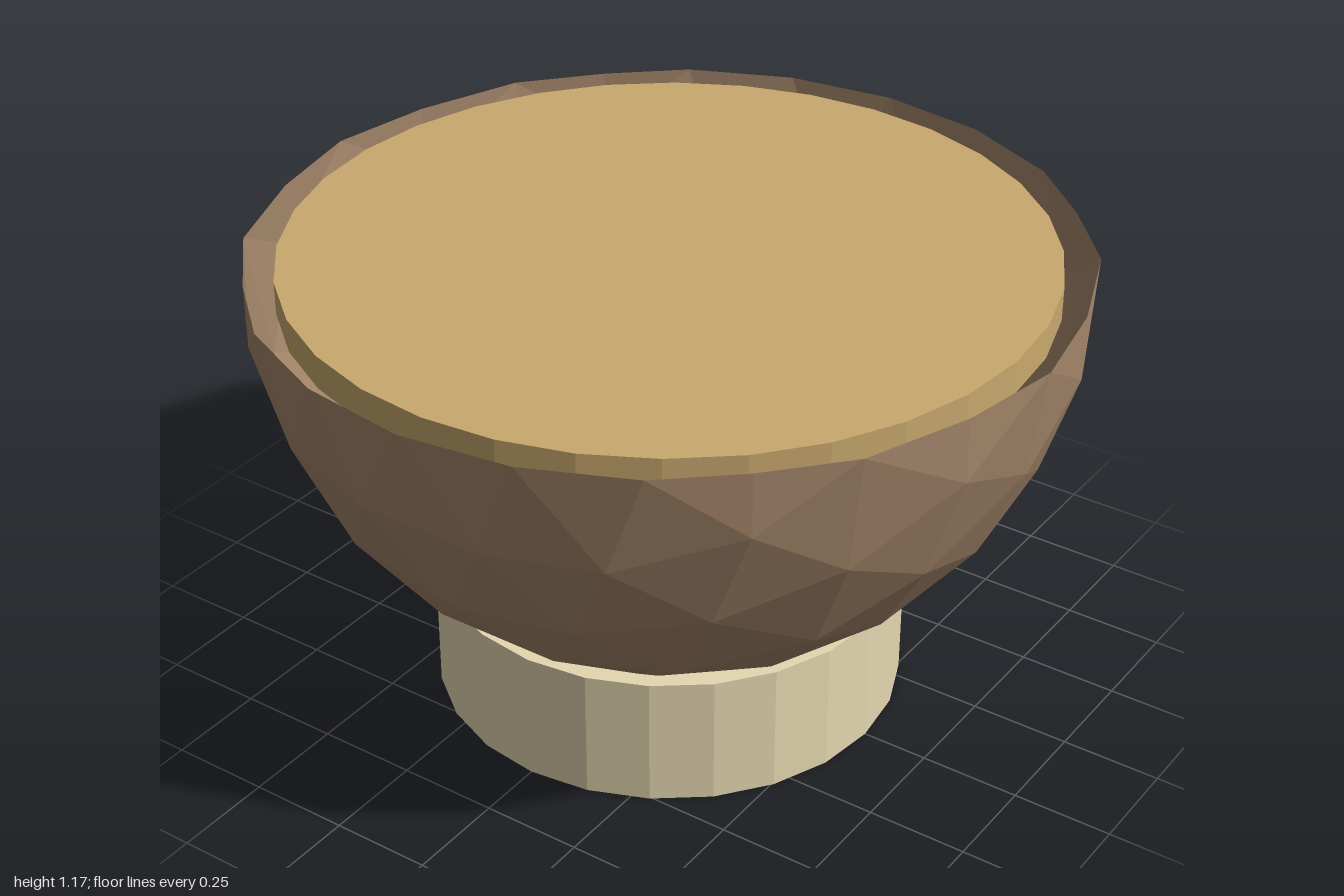
import * as THREE from 'three';

const FOOT_H = 0.333, RIM_Y = 1.167;

function material(name, color) {
  const m = new THREE.MeshStandardMaterial({ color });
  m.name = name;
  return m;
}

function addMesh(group, name, geometry, mat, y) {
  const mesh = new THREE.Mesh(geometry, mat);
  mesh.name = name;
  mesh.position.y = y;
  group.add(mesh);
}

// Icosphere subdivided twice, laid on its side
function icosphere() {
  const first = new THREE.IcosahedronGeometry(1, 1);
  const points = Array.from(first.attributes.position.array);
  const sphere = new THREE.PolyhedronGeometry(points, points.slice(0, points.length / 3).map((_, i) => i), 1, 1);
  return sphere.rotateZ(Math.PI / 2);
}

// Keep only the part of each triangle below y = 0
function lowerHalf(geometry) {
  const pos = geometry.attributes.position, out = [];
  for (let i = 0; i < pos.count; i += 3) {
    const tri = [0, 1, 2].map(k => {
      const v = new THREE.Vector3().fromBufferAttribute(pos, i + k);
      if (Math.abs(v.y) < 1e-5) v.y = 0;
      return v;
    });
    if (tri.every(v => v.y >= 0)) continue;
    const poly = [];
    tri.forEach((a, k) => {
      const b = tri[(k + 1) % 3];
      if (a.y <= 0) poly.push(a);
      if (a.y * b.y < 0) poly.push(a.clone().lerp(b, a.y / (a.y - b.y)));
    });
    for (let k = 1; k < poly.length - 1; k++) out.push(poly[0], poly[k], poly[k + 1]);
  }
  const half = new THREE.BufferGeometry().setFromPoints(out);
  half.computeVertexNormals();
  return half;
}

export function createModel() {
  const group = new THREE.Group();
  group.name = 'footedBowl';

  const wood = material('brown wood', 0xa38569);
  const cream = material('cream', 0xe4d8b0);
  const gold = material('golden tan', 0xc9a96e);
  wood.side = THREE.DoubleSide;
  for (const m of [wood, cream, gold]) m.flatShading = true;

  // Round foot
  addMesh(group, 'foot', new THREE.CylinderGeometry(0.583, 0.583, FOOT_H, 24), cream, FOOT_H / 2);
  // Open faceted bowl
  addMesh(group, 'bowl', lowerHalf(icosphere()), wood, RIM_Y);
  // Disc set level with the rim
  addMesh(group, 'topDisc', new THREE.CylinderGeometry(0.917, 0.917, 0.083, 32), gold, RIM_Y - 0.0415);

  return group;
}
